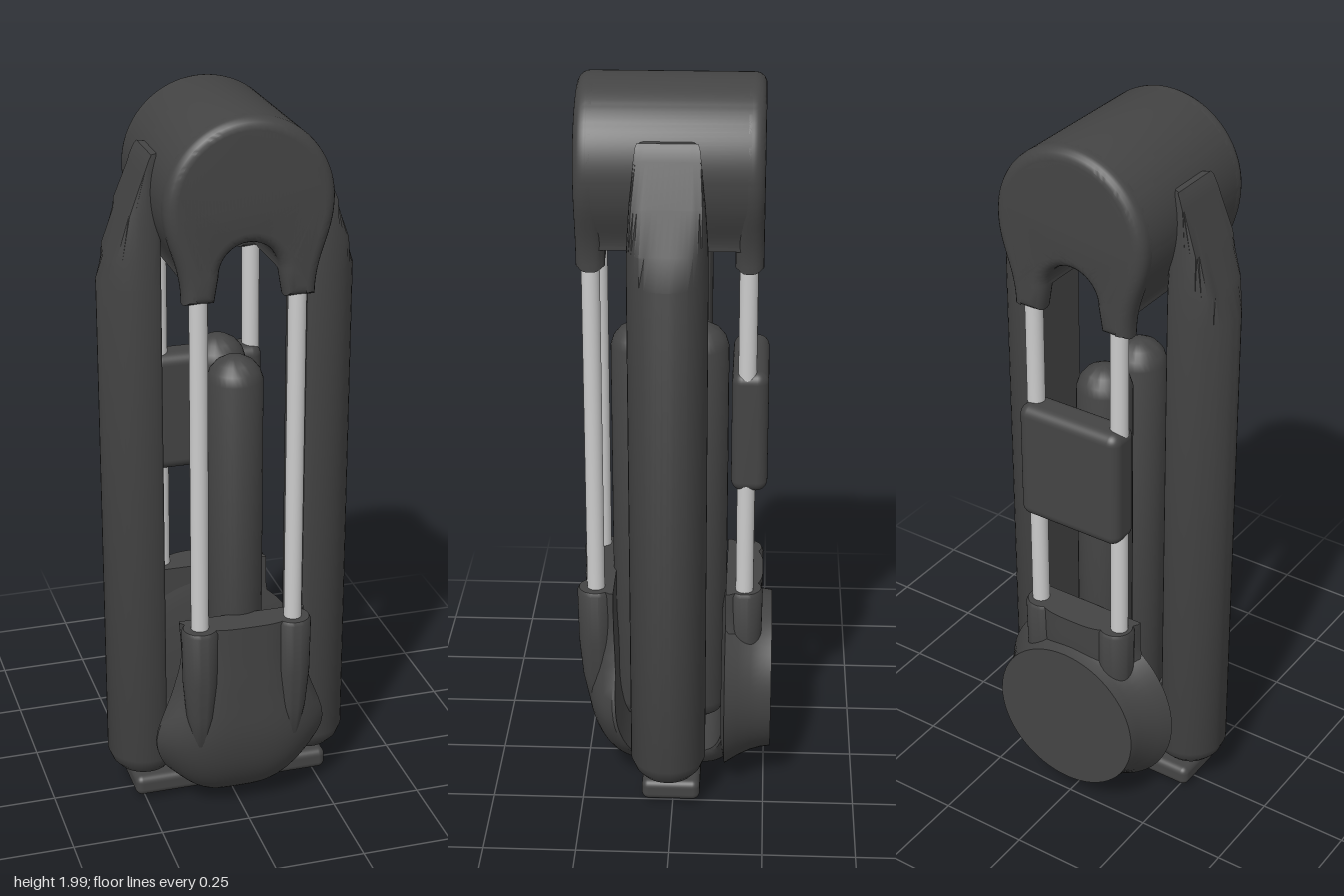
import * as THREE from 'three';
import { toCreasedNormals } from 'three/addons/utils/BufferGeometryUtils.js';
import { RoundedBoxGeometry } from 'three/addons/geometries/RoundedBoxGeometry.js';

const dark = new THREE.MeshStandardMaterial({ color: 0x444444 });
const pale = new THREE.MeshStandardMaterial({ color: 0xcccccc });

// Closed solid through a list of rings (arrays of Vector3)
function loft(rings, crease = 0.6) {
  const pos = [];
  const tri = (...pts) => pts.forEach((p) => pos.push(p.x, p.y, p.z));
  const n = rings[0].length;
  const middle = (ring) => ring.reduce((s, p) => s.add(p), new THREE.Vector3()).divideScalar(n);
  const last = rings[rings.length - 1];
  const c0 = middle(rings[0]), c1 = middle(last);
  for (let j = 0; j < n; j++) {
    const k = (j + 1) % n;
    for (let i = 0; i < rings.length - 1; i++) {
      const a = rings[i], b = rings[i + 1];
      tri(a[j], a[k], b[k]);
      tri(a[j], b[k], b[j]);
    }
    tri(c0, rings[0][k], rings[0][j]);
    tri(c1, last[j], last[k]);
  }
  const geo = new THREE.BufferGeometry();
  geo.setAttribute('position', new THREE.Float32BufferAttribute(pos, 3));
  return toCreasedNormals(geo, crease);
}

// Round head outline with an arch notch; foot is how far the legs reach down
function headShape(foot) {
  const s = new THREE.Shape();
  s.moveTo(0.092, foot);
  s.lineTo(0.172, foot);
  s.bezierCurveTo(0.172, 1.64, 0.22, 1.68, 0.22, 1.78);
  s.absarc(0, 1.78, 0.22, 0, Math.PI, false);
  s.bezierCurveTo(-0.22, 1.68, -0.172, 1.64, -0.172, foot);
  s.lineTo(-0.092, foot);
  s.lineTo(-0.08, 1.6);
  s.absarc(0, 1.6, 0.08, Math.PI, 0, true);
  s.closePath();
  return s;
}

function headSlab(foot, z0, z1, bevel) {
  const geo = new THREE.ExtrudeGeometry(headShape(foot), {
    depth: z1 - z0 - 2 * bevel, bevelThickness: bevel, bevelSize: bevel,
    bevelOffset: -bevel, bevelSegments: 5, curveSegments: 32,
  });
  geo.translate(0, 0, z0 + bevel);
  return toCreasedNormals(geo, 0.6);
}

// D-section arm with rounded foot and slanted top
function armGeometry() {
  const stations = [ // y, radius, outer limit of x
    [0.09, 0.05, 1], [0.1, 0.072, 1], [0.12, 0.09, 1], [0.15, 0.102, 1],
    [1.54, 0.103, 0.343], [1.62, 0.102, 0.313], [1.73, 0.095, 0.274],
    [1.84, 0.084, 0.232], [1.87, 0.08, 0.22], [1.88, 0.076, 0.213],
  ];
  return loft(stations.map(([y, r, limit]) => {
    const ring = [];
    for (let i = 0; i < 40; i++) {
      const a = (i + 0.5) / 40 * Math.PI * 2;
      const x = Math.min(limit, Math.max(0.195, 0.24 + r * Math.cos(a)));
      ring.push(new THREE.Vector3(x, y, -r * Math.sin(a)));
    }
    return ring;
  }));
}

// U-shaped cradle: lens cross-sections swept from front top, underneath, to back top
function cradleGeometry() {
  const st = [ // inner z, inner y, outer z, outer y, half width
    [0.165, 0.61, 0.25, 0.61, 0.175], [0.165, 0.5, 0.25, 0.5, 0.17],
    [0.16, 0.4, 0.25, 0.4, 0.192], [0.155, 0.25, 0.245, 0.25, 0.24],
    [0.13, 0.16, 0.215, 0.14, 0.215], [0.1, 0.11, 0.16, 0.06, 0.175],
    [0.04, 0.085, 0.08, 0.016, 0.14], [-0.04, 0.085, -0.05, 0.006, 0.13],
    [-0.1, 0.11, -0.12, 0.02, 0.15], [-0.13, 0.18, -0.17, 0.08, 0.19],
    [-0.14, 0.32, -0.2, 0.3, 0.22], [-0.14, 0.5, -0.235, 0.5, 0.17],
    [-0.14, 0.61, -0.24, 0.61, 0.165],
  ];
  const inner = new THREE.CatmullRomCurve3(st.map((s) => new THREE.Vector3(s[4], s[1], s[0])));
  const outer = new THREE.CatmullRomCurve3(st.map((s) => new THREE.Vector3(s[4], s[3], s[2])));
  const rings = [];
  for (let i = 0; i <= 60; i++) {
    const a = inner.getPoint(i / 60), b = outer.getPoint(i / 60);
    const out = [], back = [];
    for (let j = 0; j <= 20; j++) {
      const t = 1 - j / 10;
      const p = a.clone().lerp(b, 0.1 + 0.9 * (1 - Math.abs(t) ** 3.5));
      p.x = a.x * t;
      out.push(p);
      back.unshift(new THREE.Vector3(a.x * t, a.y, a.z));
    }
    rings.push([...out, ...back]);
  }
  return loft(rings, 0.7);
}

// Round solid from [radius, height] pairs
function turned(profile, segments = 32) {
  const geo = new THREE.LatheGeometry(profile.map(([r, y]) => new THREE.Vector2(r, y)), segments);
  return toCreasedNormals(geo.toNonIndexed(), 0.7);
}

export function createModel() {
  const model = new THREE.Group();
  const add = (name, geo, mat = dark, x = 0, y = 0, z = 0) => {
    const mesh = new THREE.Mesh(geo, mat);
    mesh.name = name;
    mesh.position.set(x, y, z);
    model.add(mesh);
    return mesh;
  };

  // Head with legs at its front and back ends
  add('head', headSlab(1.59, -0.228, 0.25, 0.035));
  add('headFrontLegs', headSlab(1.53, 0.175, 0.25, 0.03));
  add('headBackLegs', headSlab(1.53, -0.228, -0.155, 0.03));

  // Side arms
  const arm = armGeometry();
  add('leftArm', arm, dark, 0, 0, 0.013);
  add('rightArm', arm, dark, 0, 0, 0.013).rotation.y = Math.PI;

  // Twin dome-ended cylinders in the middle
  const pillar = turned([[0, 0.14], [0.035, 0.145], [0.062, 0.165], [0.075, 0.2],
    [0.075, 1.27], [0.067, 1.295], [0.05, 1.316], [0.025, 1.33], [0, 1.334]]);
  add('frontPillar', pillar, dark, 0, 0, 0.1);
  add('backPillar', pillar, dark, 0, 0, -0.065);

  // Rods and the sockets that hold them in the cradle
  const rod = new THREE.CylinderGeometry(0.024, 0.024, 1.06, 24);
  const socket = turned([[0, 0.22], [0.02, 0.25], [0.038, 0.34], [0.048, 0.45],
    [0.05, 0.6], [0.045, 0.61], [0, 0.61]]);
  for (const x of [-0.13, 0.13]) {
    add('frontRod', rod, pale, x, 1.06, 0.214);
    add('backRod', rod, pale, x, 1.06, -0.19);
    add('frontSocket', socket, dark, x, 0, 0.215);
    add('backSocket', socket, dark, x * 0.92, 0, -0.19);
  }

  // Pad clamped on the back rods
  add('backPad', new RoundedBoxGeometry(0.312, 0.34, 0.096, 5, 0.03), dark, 0, 1.08, -0.198);

  // Cradle, flared back disc and foot bar
  add('cradle', cradleGeometry());
  const disc = turned([[0, 0.14], [0.22, 0.13], [0.272, 0.14], [0.25, 0.175],
    [0.233, 0.21], [0.224, 0.24], [0.22, 0.267], [0, 0.267]], 64);
  add('backDisc', disc, dark, 0, 0.29, 0).rotation.x = -Math.PI / 2;
  add('footBar', new RoundedBoxGeometry(0.56, 0.06, 0.16, 4, 0.02), dark, 0, 0.05, 0.005);

  return model;
}
